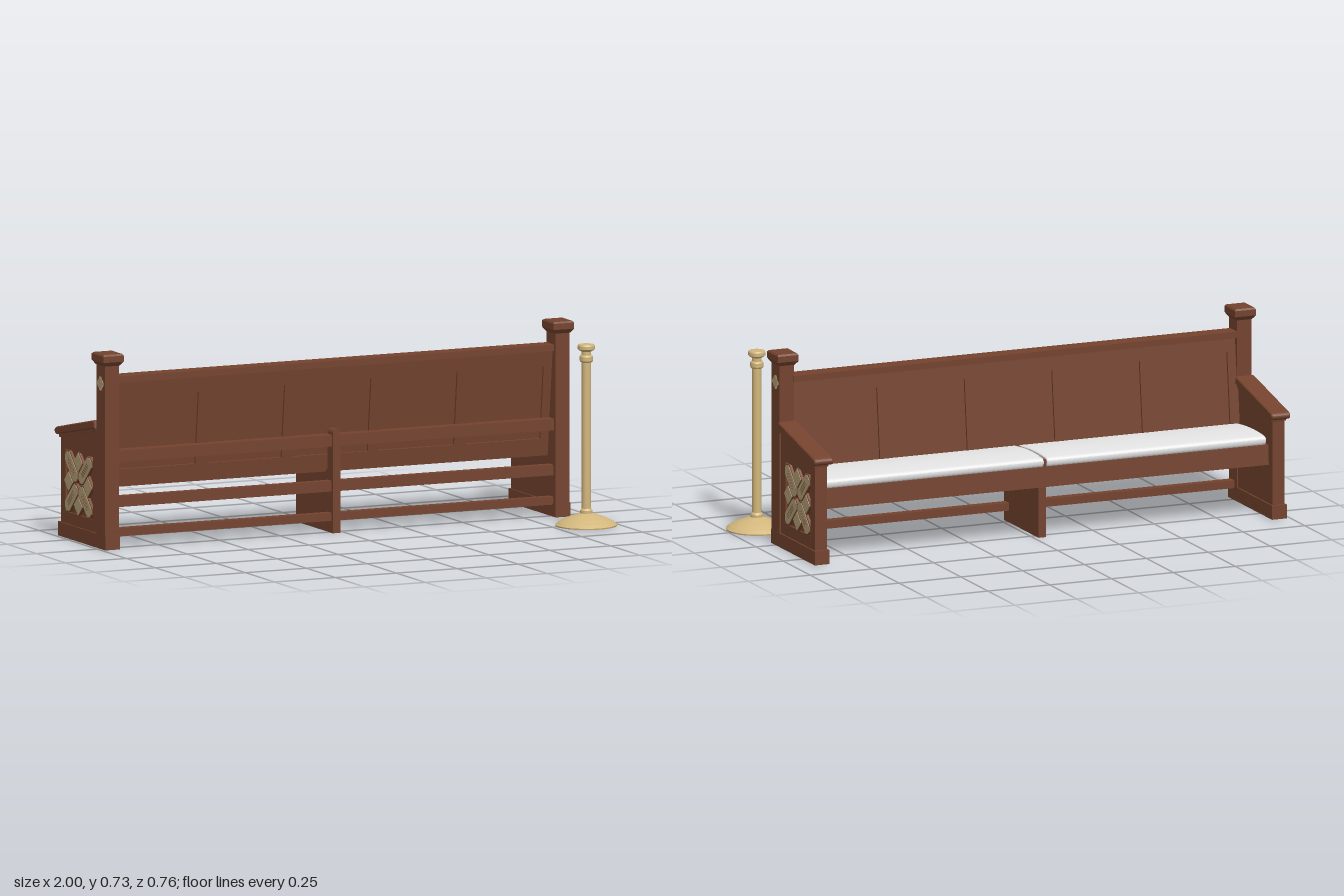
import * as THREE from 'three';

const mat = (name, color) => {
  const m = new THREE.MeshStandardMaterial({ color });
  m.name = name;
  return m;
};

export function createModel() {
  const wood = mat('brown wood', 0x74432e);
  const inlay = mat('pale inlay', 0xb3a078);
  const brass = mat('brass', 0xd2b67c);
  const cloth = mat('white cushion', 0xe6e6e6);

  const model = new THREE.Group();
  const midX = -0.0325;   // middle of the bench
  const reach = 0.9245;   // middle of the bench to each end

  const add = (parent, name, geo, material, x = 0, y = 0, z = 0) => {
    const mesh = new THREE.Mesh(geo, material);
    mesh.name = name;
    mesh.position.set(x, y, z);
    parent.add(mesh);
    return mesh;
  };
  // Box given by its limits in y and z
  const beam = (parent, name, w, y0, y1, z0, z1, x = 0, material = wood) =>
    add(parent, name, new THREE.BoxGeometry(w, y1 - y0, z1 - z0), material, x, (y0 + y1) / 2, (z0 + z1) / 2);
  const poly = (pts) => new THREE.Shape(pts.map(([a, b]) => new THREE.Vector2(a, b)));
  const rect = (a0, b0, a1, b1) => poly([[a0, b0], [a1, b0], [a1, b1], [a0, b1]]);
  // Extrudes a (z, y) outline along x, centred
  const side = (shape, w, bevel = 0) => {
    const geo = new THREE.ExtrudeGeometry(shape, {
      depth: w - 2 * bevel, bevelEnabled: bevel > 0, bevelSize: bevel, bevelOffset: -bevel,
      bevelThickness: bevel, bevelSegments: 1, curveSegments: 8,
    });
    return geo.translate(0, 0, -(w - 2 * bevel) / 2).rotateY(-Math.PI / 2);
  };

  // Outlines of the carved ornaments
  const diamond = (r) => poly([[r, 0], [0, r], [-r, 0], [0, -r]]);
  const lozenge = (l, w, c) => poly([
    [l, -w + c], [l, w - c], [l - c, w], [-l + c, w],
    [-l, w - c], [-l, -w + c], [-l + c, -w], [l - c, -w],
  ]);
  const steppedDiamond = () => {
    let quarter = [[0.025, 0.006], [0.019, 0.006], [0.019, 0.013], [0.013, 0.013],
      [0.013, 0.019], [0.006, 0.019], [0.006, 0.025]];
    const pts = [];
    for (let i = 0; i < 4; i++) {
      pts.push(...quarter);
      quarter = quarter.map(([a, b]) => [-b, a]);
    }
    return poly(pts);
  };

  // Bench ends, mirrored
  const wallOutline = () => poly([[-0.353, 0.04], [-0.03, 0.04], [-0.03, 0.44], [-0.353, 0.375]]);
  for (const s of [1, -1]) {
    const end = new THREE.Group();
    end.name = s > 0 ? 'leftEnd' : 'rightEnd';
    end.position.x = midX + s * reach;
    model.add(end);

    beam(end, 'foot', 0.06, 0, 0.053, -0.364, 0.043);
    beam(end, 'post', 0.058, 0.043, 0.69, -0.037, 0.037);

    // Post cap with a flared underside and chamfered top
    const cap = new THREE.LatheGeometry([[0, 0.688], [0.034, 0.688], [0.046, 0.704], [0.046, 0.727], [0.041, 0.733], [0, 0.733]]
      .map(([r, y]) => new THREE.Vector2(r * Math.SQRT2, y)), 4).toNonIndexed();
    cap.rotateY(Math.PI / 4).scale(0.042 / 0.046, 1, 0.05 / 0.046);
    cap.computeVertexNormals();
    add(end, 'postCap', cap, wood);

    // Side wall with a square recess on its outer face
    add(end, 'sideWall', side(wallOutline(), 0.04), wood, -s * 0.004);
    const face = wallOutline();
    face.holes.push(rect(-0.313, 0.098, -0.078, 0.333));
    add(end, 'wallFrame', side(face, 0.008), wood, s * 0.02);

    // Sloping armrest with rounded front, and the moulding below it
    const arm = new THREE.Shape();
    arm.moveTo(-0.036, 0.447);
    arm.lineTo(-0.043, 0.477);
    arm.lineTo(-0.367, 0.408);
    arm.quadraticCurveTo(-0.382, 0.402, -0.38, 0.391);
    arm.quadraticCurveTo(-0.377, 0.379, -0.362, 0.38);
    arm.closePath();
    add(end, 'armrest', side(arm, 0.076, 0.004), wood);
    add(end, 'armMoulding', side(poly([[-0.036, 0.45], [-0.357, 0.383], [-0.353, 0.37], [-0.036, 0.436]]), 0.06), wood);

    // Carved cross: four diamonds and four diagonal bars
    const cross = new THREE.Group();
    cross.name = 'carvedCross';
    cross.position.set(0, 0.215, -0.1955);
    end.add(cross);
    for (let i = 0; i < 4; i++) {
      const a = i * Math.PI / 2, d = a + Math.PI / 4;
      const at = (name, geo, m, x, angle, r) => {
        add(cross, name, geo, m, s * x, r * Math.sin(angle), r * Math.cos(angle)).rotation.x = -angle;
      };
      at('diamondBase', side(diamond(0.041), 0.012, 0.002), wood, 0.021, a, 0.082);
      at('diamondInlay', side(diamond(0.036), 0.004), inlay, 0.027, a, 0.082);
      at('barBase', side(lozenge(0.07, 0.028, 0.017), 0.012, 0.002), wood, 0.021, d, 0.083);
      at('barInlay', side(lozenge(0.065, 0.024, 0.015), 0.004), inlay, 0.027, d, 0.083);
      for (const k of [-1, 0, 1]) {
        const slot = new THREE.BoxGeometry(0.001, 0.0015, 0.07).translate(0, k * 0.008, 0);
        at('barGroove', slot, wood, 0.0292, d, 0.083);
      }
    }
    add(end, 'postInlay', side(steppedDiamond(), 0.004), inlay, s * 0.03, 0.62, 0);
  }

  // Leaning backrest: frame with five recessed panels
  const span = 2 * reach - 0.05;
  const back = new THREE.Group();
  back.name = 'backrest';
  back.position.set(midX, 0.225, -0.045);
  back.rotation.x = 0.108;
  model.add(back);
  const frame = rect(-span / 2, 0, span / 2, 0.41);
  for (let i = -2; i <= 2; i++) {
    frame.holes.push(rect(i * 0.354 - 0.154, 0.066, i * 0.354 + 0.154, 0.343));
  }
  add(back, 'backFrame', new THREE.ExtrudeGeometry(frame, { depth: 0.032, bevelEnabled: false }), wood, 0, 0, -0.016);
  beam(back, 'backPanels', span - 0.02, 0.02, 0.39, -0.007, 0.007);
  beam(model, 'topRail', span, 0.622, 0.646, -0.04, 0.027, midX);

  // Long rails behind and under the bench
  beam(model, 'backRail', span, 0.325, 0.368, -0.02, 0.028, midX);
  beam(model, 'upperStretcher', span, 0.155, 0.195, -0.012, 0.02, midX);
  beam(model, 'lowerStretcher', span, 0.045, 0.075, -0.012, 0.02, midX);

  // Centre support with a rounded top
  const strut = new THREE.Shape();
  strut.moveTo(-0.016, 0);
  strut.lineTo(0.016, 0);
  strut.lineTo(0.016, 0.375);
  strut.absarc(0, 0.375, 0.016, 0, Math.PI, false);
  strut.closePath();
  add(model, 'centreStrut', new THREE.ExtrudeGeometry(strut, { depth: 0.045, bevelEnabled: false }), wood, midX, 0, -0.012);
  beam(model, 'centreSupport', 0.03, 0, 0.235, -0.285, 0.03, midX);

  // Seat board with front apron, and two cushions
  add(model, 'seat', side(poly([[-0.04, 0.285], [-0.318, 0.275], [-0.322, 0.2], [-0.296, 0.2], [-0.04, 0.232]]), span), wood, midX);
  const pad = new THREE.Shape();
  pad.moveTo(-0.05, 0.278);
  pad.lineTo(-0.05, 0.3);
  pad.quadraticCurveTo(-0.18, 0.318, -0.3, 0.308);
  pad.quadraticCurveTo(-0.315, 0.306, -0.316, 0.294);
  pad.quadraticCurveTo(-0.316, 0.278, -0.305, 0.272);
  pad.closePath();
  for (const s of [1, -1]) {
    add(model, s > 0 ? 'leftCushion' : 'rightCushion', side(pad, 0.886, 0.003), cloth, midX + s * 0.449);
  }
  beam(model, 'cushionDivider', 0.011, 0.26, 0.301, -0.312, -0.04, midX);

  // Brass stand post: domed base, pole, collars and cap
  const turned = (name, pts) => {
    // Each straight run is its own lathe band, so edges stay sharp
    const group = new THREE.Group();
    group.name = name;
    group.position.set(0.881, 0, 0.266);
    model.add(group);
    for (let i = 0; i < pts.length - 1; i++) {
      const band = [pts[i], pts[i + 1]].map(([r, y]) => new THREE.Vector2(r, y));
      add(group, name + 'Band', new THREE.LatheGeometry(band, 32), brass);
    }
  };
  turned('standBase', [[0, 0], [0.114, 0], [0.115, 0.005], [0.1, 0.016], [0.075, 0.029], [0.05, 0.038], [0.023, 0.047]]);
  turned('standPole', [[0.023, 0.045], [0.023, 0.057], [0.019, 0.063], [0.017, 0.065], [0.017, 0.612]]);
  turned('standHead', [[0.017, 0.612], [0.022, 0.614], [0.025, 0.619], [0.025, 0.634], [0.022, 0.639], [0.018, 0.64],
    [0.018, 0.653], [0.026, 0.657], [0.032, 0.662], [0.032, 0.674], [0.029, 0.679], [0, 0.68]]);

  return model;
}
